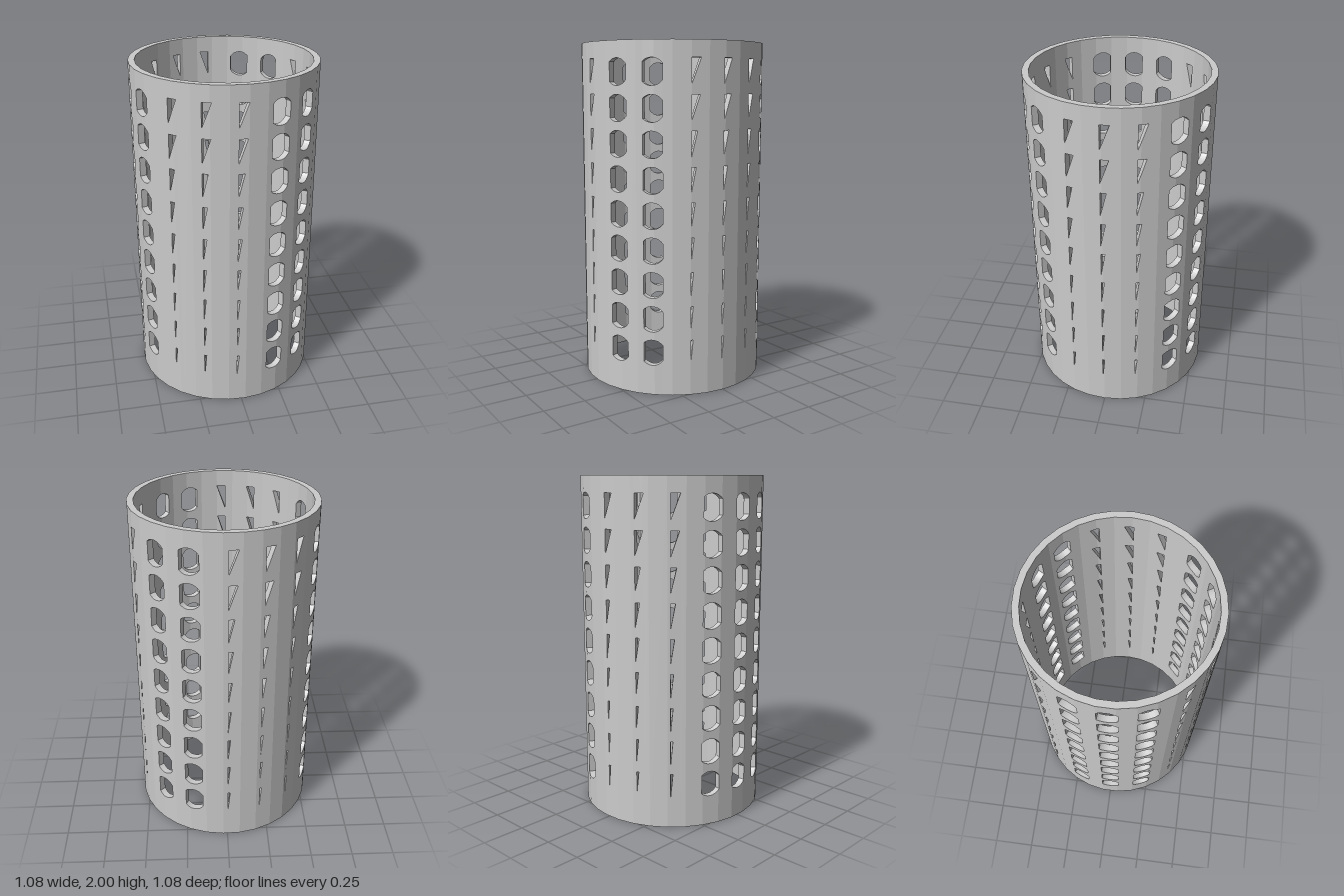
import * as THREE from 'three';

const DEG = Math.PI / 180;
const HEIGHT = 2, OUTER = 0.543, INNER = 0.505;
const FACETS = 33, STEP = 360 / FACETS, FIRST = 90;
const ROWS = 9, ROW_Y = 0.25, ROW_GAP = 0.1975;

// Columns of openings every 22.5 degrees: wide holes, and slits with their edge offset
const HOLES = [22.5, 45, 135, 157.5, 247.5, 270, 292.5];
const SLITS = [[0, -3], [67.5, 0.8], [90, -1], [112.5, -2.4], [180, 0.3], [202.5, -1], [225, -2.2], [315, 0.6], [337.5, -1.4]];
// Slit width in degrees, bottom row to top row
const SLIT_WIDTHS = [1.4, 1.4, 1.5, 1.8, 2.4, 2.9, 3.6, 5.2, 5.7];

// An opening spans [a, b] degrees; lo and hi give its bottom and top heights
function wideHole(angle, y) {
  const r = 0.075, degPerUnit = 1 / (OUTER * DEG);
  const half = (t) => Math.sqrt(Math.max(0, r * r - ((t - angle) / degPerUnit) ** 2));
  return { a: angle - 5.4, b: angle + 6.5, lo: (t) => y - half(t), hi: (t) => y + half(t), cuts: 10 };
}

function slit(angle, offset, row, y) {
  const a = angle + offset, w = SLIT_WIDTHS[row];
  return { a, b: a + w, lo: (t) => y - 0.065 + 0.14 * (t - a) / w, hi: () => y + 0.075, cuts: 1 };
}

// Radius of the faceted wall at an angle
function wallRadius(R, t) {
  const local = ((((t - FIRST) % STEP) + STEP) % STEP) - STEP / 2;
  return R * Math.cos(STEP / 2 * DEG) / Math.cos(local * DEG);
}

function point(R, t, y) {
  const r = wallRadius(R, t);
  return [r * Math.sin(t * DEG), y, r * Math.cos(t * DEG)];
}

function buildTube() {
  const openings = [];
  for (let row = 0; row < ROWS; row++) {
    const y = ROW_Y + row * ROW_GAP;
    for (const angle of HOLES) openings.push(wideHole(angle, y));
    for (const [angle, offset] of SLITS) openings.push(slit(angle, offset, row, y));
  }

  // Vertical cut lines: facet edges plus the samples of every opening
  const start = -10, cuts = [start, start + 360];
  for (let i = 0; i < FACETS; i++) {
    const t = FIRST + i * STEP;
    cuts.push(t >= start + 360 ? t - 360 : t);
  }
  for (const o of openings) {
    for (let i = 0; i <= o.cuts; i++) cuts.push(o.a + (o.b - o.a) * i / o.cuts);
  }
  const columns = cuts.sort((p, q) => p - q).filter((t, i) => i === 0 || t - cuts[i - 1] > 1e-5);

  const pos = [];
  const quad = (a, b, c, d) => pos.push(...a, ...b, ...c, ...a, ...c, ...d);

  for (let i = 0; i < columns.length - 1; i++) {
    const s = columns[i], t = columns[i + 1], mid = (s + t) / 2;
    // Wall panel from heights (s0, t0) up to (s1, t1), outside and inside
    const panel = (s0, t0, s1, t1) => {
      quad(point(OUTER, s, s0), point(OUTER, t, t0), point(OUTER, t, t1), point(OUTER, s, s1));
      quad(point(INNER, t, t0), point(INNER, s, s0), point(INNER, s, s1), point(INNER, t, t1));
    };
    // Surface through the wall thickness, facing up
    const ledge = (ys, yt) =>
      quad(point(OUTER, s, ys), point(OUTER, t, yt), point(INNER, t, yt), point(INNER, s, ys));
    // The same, facing down
    const ceiling = (ys, yt) =>
      quad(point(INNER, s, ys), point(INNER, t, yt), point(OUTER, t, yt), point(OUTER, s, ys));

    let ys = 0, yt = 0;
    ceiling(0, 0);
    const here = openings.filter((o) => mid > o.a && mid < o.b);
    for (const o of here) {
      panel(ys, yt, o.lo(s), o.lo(t));
      ledge(o.lo(s), o.lo(t));
      ceiling(o.hi(s), o.hi(t));
      ys = o.hi(s);
      yt = o.hi(t);
    }
    panel(ys, yt, HEIGHT, HEIGHT);
    ledge(HEIGHT, HEIGHT);
  }

  // Upright sides of the openings
  for (const { a, b, lo, hi } of openings) {
    quad(point(OUTER, a, lo(a)), point(INNER, a, lo(a)), point(INNER, a, hi(a)), point(OUTER, a, hi(a)));
    if (hi(b) - lo(b) > 1e-4) {
      quad(point(INNER, b, lo(b)), point(OUTER, b, lo(b)), point(OUTER, b, hi(b)), point(INNER, b, hi(b)));
    }
  }

  const geometry = new THREE.BufferGeometry();
  geometry.setAttribute('position', new THREE.Float32BufferAttribute(pos, 3));
  geometry.computeVertexNormals();
  return geometry;
}

export function createModel() {
  const group = new THREE.Group();
  group.name = 'perforatedCylinder';
  const material = new THREE.MeshStandardMaterial({ color: 0xcccccc, flatShading: true });
  const tube = new THREE.Mesh(buildTube(), material);
  tube.name = 'perforatedTube';
  group.add(tube);
  return group;
}
